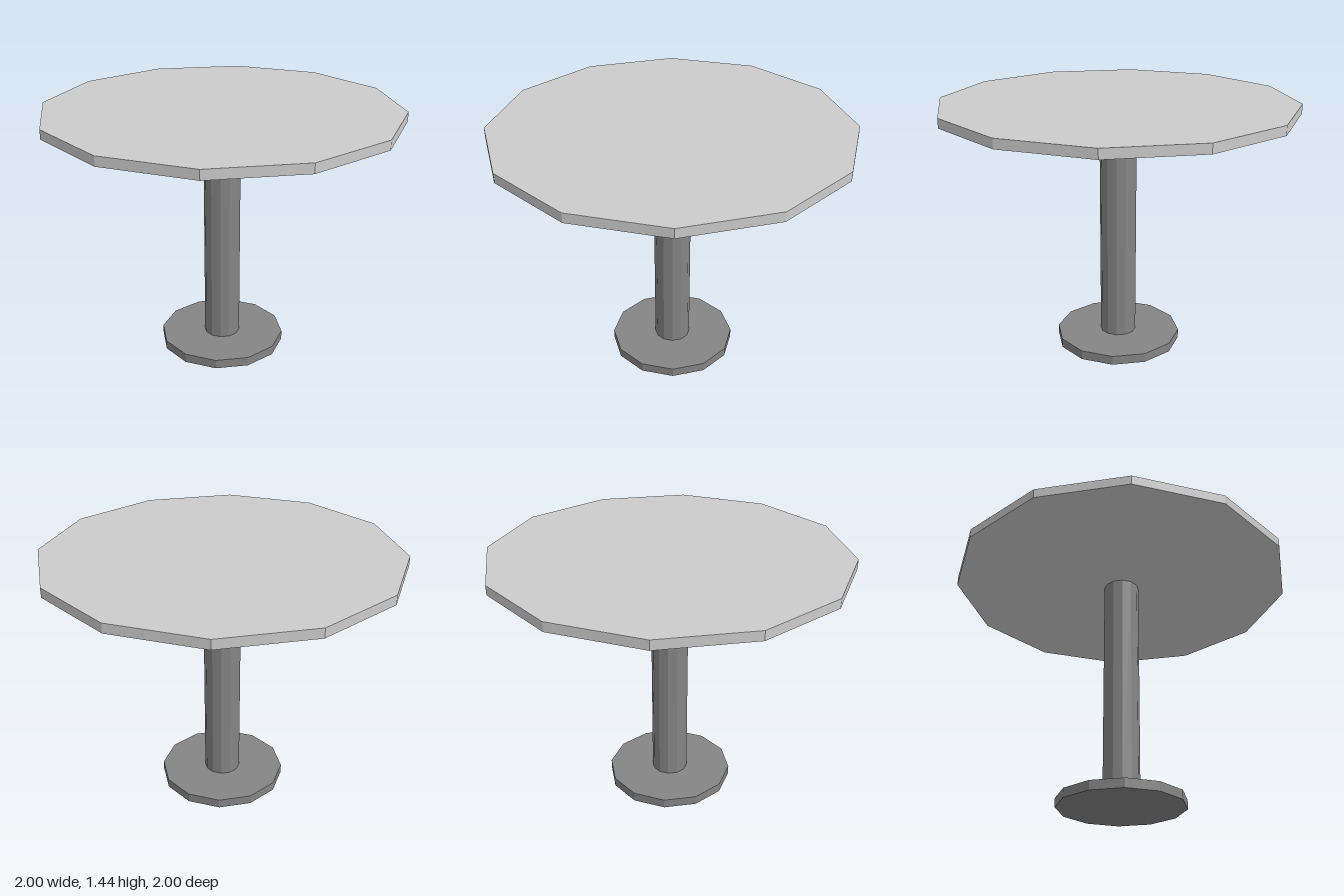
import * as THREE from 'three';

const SIDES = 12;

export function createModel() {
  const table = new THREE.Group();
  table.name = 'pedestalTable';

  const lightGrey = new THREE.MeshStandardMaterial({ color: 0xcccccc, flatShading: true });
  const darkGrey = new THREE.MeshStandardMaterial({ color: 0x858585, flatShading: true });

  // Upright twelve-sided disc or post between two heights
  function addPrism(name, radius, bottom, top, material) {
    const geometry = new THREE.CylinderGeometry(radius, radius, top - bottom, SIDES);
    const mesh = new THREE.Mesh(geometry, material);
    mesh.name = name;
    mesh.position.y = (bottom + top) / 2;
    table.add(mesh);
  }

  addPrism('base', 0.363, 0, 0.053, darkGrey);
  addPrism('column', 0.104, 0.053, 1.39, darkGrey);
  addPrism('tabletop', 1, 1.39, 1.443, lightGrey);

  return table;
}
